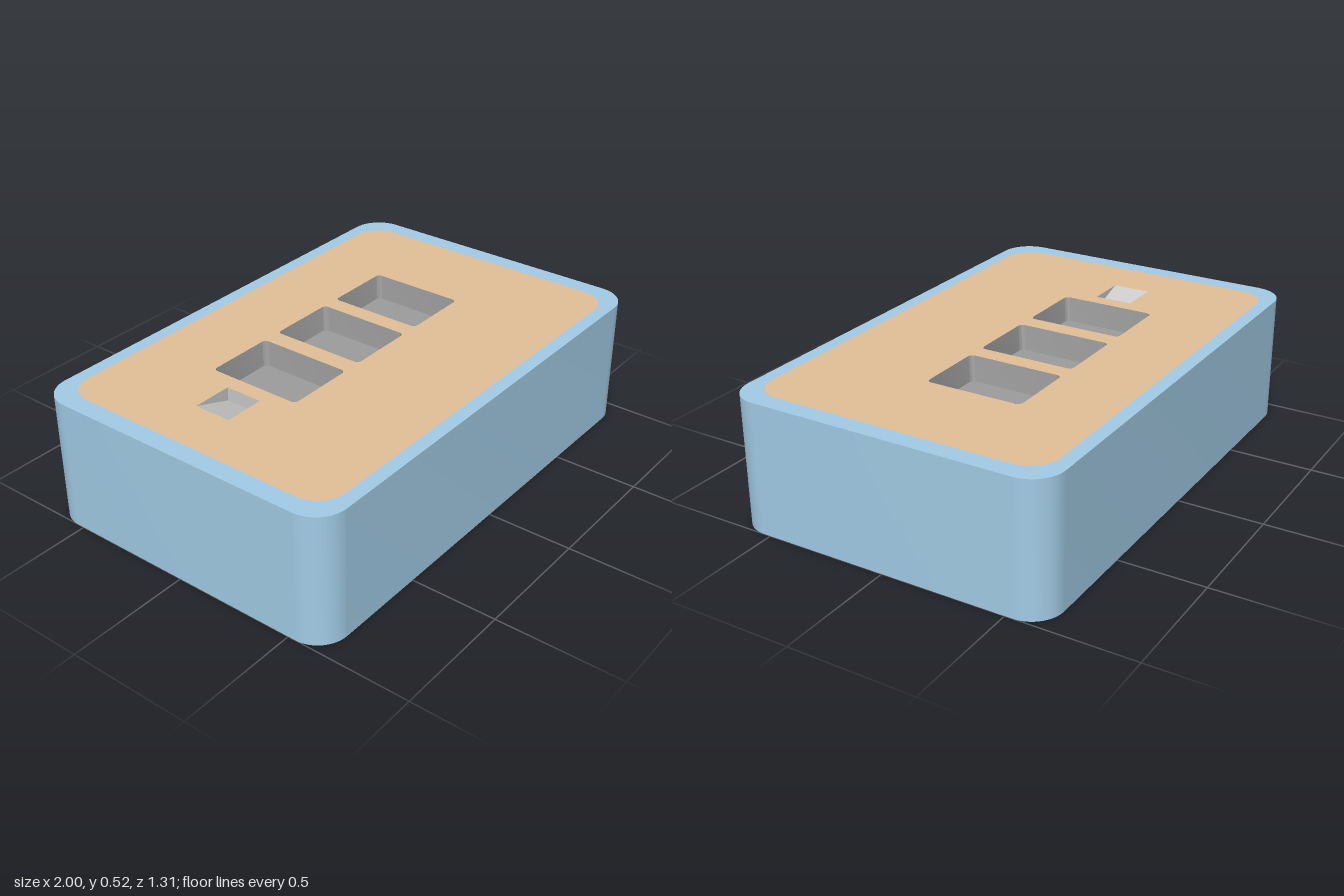
import * as THREE from 'three';
import { toCreasedNormals } from 'three/addons/utils/BufferGeometryUtils.js';

const H = 0.525;

// Rounded rectangle; cy is -z once the shape is laid flat
function roundedRect(w, d, r, cx = 0, cy = 0, Type = THREE.Shape) {
  const s = new Type(), x0 = cx - w / 2, x1 = cx + w / 2, y0 = cy - d / 2, y1 = cy + d / 2;
  s.moveTo(x0 + r, y0);
  s.lineTo(x1 - r, y0);
  s.absarc(x1 - r, y0 + r, r, -Math.PI / 2, 0);
  s.lineTo(x1, y1 - r);
  s.absarc(x1 - r, y1 - r, r, 0, Math.PI / 2);
  s.lineTo(x0 + r, y1);
  s.absarc(x0 + r, y1 - r, r, Math.PI / 2, Math.PI);
  s.lineTo(x0, y0 + r);
  s.absarc(x0 + r, y0 + r, r, Math.PI, Math.PI * 1.5);
  return s;
}

const flat = (geometry, y) => geometry.rotateX(-Math.PI / 2).translate(0, y, 0);

function surface(points, index) {
  const g = new THREE.BufferGeometry();
  g.setAttribute('position', new THREE.Float32BufferAttribute(points, 3));
  g.setIndex(index);
  const out = g.toNonIndexed();
  out.computeVertexNormals();
  return out;
}

// Sloped walls joining two outlines at different heights, seen from inside
function loft(top, bottom, yTop, yBottom) {
  const a = top.getPoints(5), b = bottom.getPoints(5), pts = [], idx = [];
  a.forEach((p, i) => pts.push(p.x, yTop, -p.y, b[i].x, yBottom, -b[i].y));
  for (let i = 0; i < a.length; i++) {
    const k = 2 * i, n = 2 * ((i + 1) % a.length);
    idx.push(k, n, k + 1, n, n + 1, k + 1);
  }
  return toCreasedNormals(surface(pts, idx), 0.6);
}

export function createModel() {
  const group = new THREE.Group();
  const mat = (color) => new THREE.MeshStandardMaterial({ color, side: THREE.DoubleSide });
  const blue = mat(0xa2cce6), tan = mat(0xe3c199), dark = mat(0x9d9d9d), grey = mat(0xcccccc);
  const add = (name, geometry, material, parent = group) => {
    const mesh = new THREE.Mesh(geometry, material);
    mesh.name = name;
    parent.add(mesh);
  };

  // Case: outer wall with its flush rim, closed underneath
  const outer = roundedRect(2, 1.31, 0.125);
  outer.holes.push(roundedRect(1.85, 1.2, 0.115, 0, 0, THREE.Path));
  const wall = new THREE.ExtrudeGeometry(outer, { depth: H, bevelEnabled: false, curveSegments: 12 });
  add('caseWall', toCreasedNormals(flat(wall, 0), 0.5), blue);
  const base = new THREE.ShapeGeometry(roundedRect(1.85, 1.2, 0.115), 12);
  add('caseBottom', base.rotateX(Math.PI / 2), blue);

  // Face panel with openings for the wells and the switch
  const panel = roundedRect(1.85, 1.2, 0.115);
  const wellX = [-0.34, 0.027, 0.39], wellY = 0.082;
  for (const x of wellX) panel.holes.push(roundedRect(0.29, 0.394, 0.02, x, wellY, THREE.Path));
  const [x0, x1, z0, z1] = [-0.715, -0.55, -0.15, 0.005];
  panel.holes.push(new THREE.Path([[x0, -z0], [x0, -z1], [x1, -z1], [x1, -z0]].map(([x, y]) => new THREE.Vector2(x, y))));
  add('facePanel', flat(new THREE.ShapeGeometry(panel, 12), H), tan);

  // Three recessed wells with slightly sloping walls
  const floorY = H - 0.1;
  for (const x of wellX) {
    const well = new THREE.Group();
    well.name = 'well';
    const rim = roundedRect(0.29, 0.394, 0.02, x, wellY);
    const floor = roundedRect(0.268, 0.372, 0.02, x, wellY);
    add('wellWalls', loft(rim, floor, H, floorY), dark, well);
    add('wellFloor', flat(new THREE.ShapeGeometry(floor, 5), floorY), dark, well);
    group.add(well);
  }

  // Rocker switch: a ramp sinking towards +x, with its end and side walls
  const low = H - 0.055;
  add('switchRamp', surface(
    [x0, H, z0, x0, H, z1, x1, low, z1, x1, low, z0, x1, H, z1, x1, H, z0],
    [0, 1, 2, 0, 2, 3, 3, 2, 4, 3, 4, 5, 1, 4, 2, 0, 3, 5]), grey);

  return group;
}
